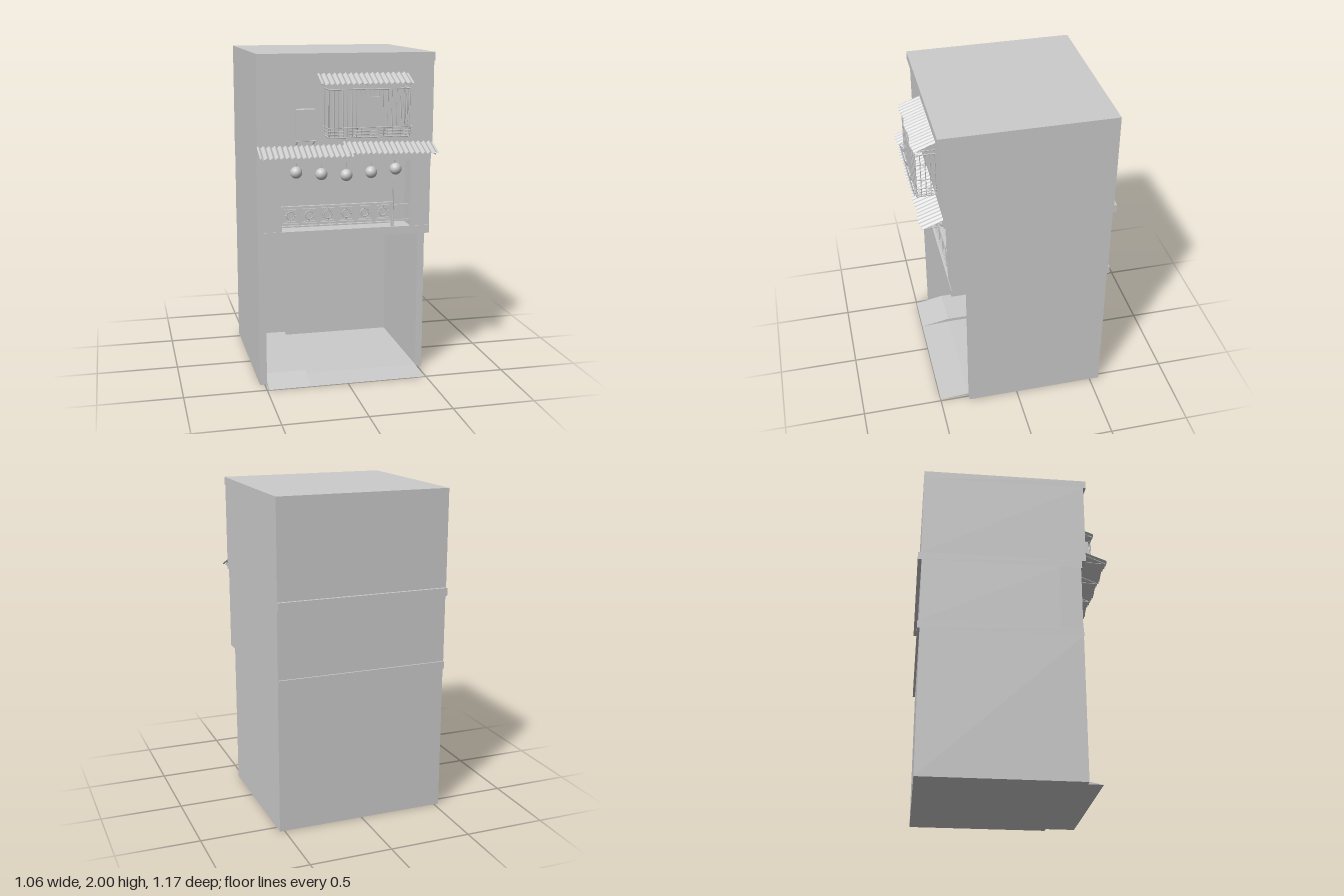
import * as THREE from 'three';

const grey = new THREE.MeshStandardMaterial({ color: 0xcccccc });
const sheetMat = new THREE.MeshStandardMaterial({ color: 0xcccccc, side: THREE.DoubleSide });

function add(parent, name, geometry, material = grey) {
  const mesh = new THREE.Mesh(geometry, material);
  mesh.name = name;
  parent.add(mesh);
  return mesh;
}

// Box given by its extents on each axis
function box(parent, name, x0, x1, y0, y1, z0, z1) {
  const mesh = add(parent, name, new THREE.BoxGeometry(x1 - x0, y1 - y0, z1 - z0));
  mesh.position.set((x0 + x1) / 2, (y0 + y1) / 2, (z0 + z1) / 2);
  return mesh;
}

// Thin round bar between two points
function rod(parent, name, a, b, r = 0.003) {
  const p = new THREE.Vector3(...a), q = new THREE.Vector3(...b);
  const mesh = add(parent, name, new THREE.CylinderGeometry(r, r, p.distanceTo(q), 6));
  mesh.position.copy(p).lerp(q, 0.5);
  mesh.quaternion.setFromUnitVectors(new THREE.Vector3(0, 1, 0), q.sub(p).normalize());
  return mesh;
}

function group(parent, name) {
  const g = new THREE.Group();
  g.name = name;
  parent.add(g);
  return g;
}

// Corrugated sheet sloping from the wall down to its outer edge, with struts
function awning(parent, name, x0, x1, yTop, yLow, tilt = 0) {
  const g = group(parent, name);
  const w = x1 - x0, waves = Math.round(w / 0.032);
  const geo = new THREE.PlaneGeometry(1, 1, waves * 8, 1);
  const p = geo.attributes.position;
  for (let i = 0; i < p.count; i++) {
    const u = p.getX(i) + 0.5, v = p.getY(i) + 0.5;
    const wave = 0.005 * Math.sin(u * waves * Math.PI * 2);
    const z = 0.568 - 0.128 * v + (1 - v) * 0.005 * Math.sin(u * 17);
    p.setXYZ(i, x0 + w * u, yLow + (yTop - yLow) * v + wave - tilt * u, z);
  }
  geo.computeVertexNormals();
  add(g, 'corrugatedSheet', geo, sheetMat);
  for (const t of [0.04, 0.5, 0.96]) {
    const x = x0 + w * t, d = tilt * t + 0.008;
    rod(g, 'slopingStrut', [x, yTop - d, 0.44], [x, yLow - d, 0.565]);
    rod(g, 'levelStrut', [x, yLow - d, 0.44], [x, yLow - d, 0.565]);
  }
}

// Rectangular railing frame with a round, notched ornament
function railingPanel(parent, x, y, z) {
  const g = group(parent, 'railingPanel');
  g.position.set(x, y, z);
  const square = (s, t) => {
    box(g, 'frameBar', -s, s, s - t, s, -0.006, 0.006);
    box(g, 'frameBar', -s, s, -s, -s + t, -0.006, 0.006);
    for (const m of [-1, 1]) box(g, 'frameBar', m * (s - t / 2) - t / 2, m * (s - t / 2) + t / 2, -s, s, -0.006, 0.006);
  };
  square(0.051, 0.005);
  square(0.04, 0.004);
  add(g, 'ring', new THREE.TorusGeometry(0.024, 0.003, 6, 24));
  for (let i = 0; i < 4; i++) {
    const a = i * Math.PI / 2;
    rod(g, 'spoke', [0.023 * Math.cos(a), 0.023 * Math.sin(a), 0], [0.038 * Math.cos(a), 0.038 * Math.sin(a), 0]);
  }
}

export function createModel() {
  const model = new THREE.Group();
  model.name = 'shopHouse';

  // Ground floor: open garage with walls, floor and sloped entry
  const ground = group(model, 'groundFloor');
  box(ground, 'leftWall', 0.487, 0.53, 0, 0.9, -0.56, 0.315);
  box(ground, 'rightWall', -0.53, -0.487, 0, 0.9, -0.56, 0.41);
  box(ground, 'backWall', -0.487, 0.487, 0, 0.9, -0.56, -0.415);
  box(ground, 'ceilingSlab', -0.53, 0.53, 0.9, 0.95, -0.575, 0.412);
  const floor = (name, x0, x1, h) => {
    const s = new THREE.Shape();
    s.moveTo(-0.5, 0).lineTo(0.415, 0).lineTo(0.415, h).lineTo(-0.315, h).closePath();
    const mesh = add(ground, name, new THREE.ExtrudeGeometry(s, { depth: x1 - x0, bevelEnabled: false }));
    mesh.rotation.y = Math.PI / 2;
    mesh.position.x = x0;
  };
  floor('raisedFloorAndRamp', -0.487, -0.23, 0.035);
  floor('floorAndRamp', -0.23, 0.487, 0.012);

  // Middle floor with a recessed balcony
  const middle = group(model, 'middleFloor');
  box(middle, 'body', -0.53, 0.53, 0.95, 1.36, -0.565, 0.275);
  box(middle, 'frontWallRight', -0.53, -0.39, 0.95, 1.36, 0.275, 0.408);
  box(middle, 'frontWallLeft', 0.41, 0.53, 0.95, 1.36, 0.275, 0.408);
  box(middle, 'ledge', -0.53, 0.53, 1.36, 1.41, -0.588, 0.415);

  // Balcony railing, side gate and corner pole
  const railing = group(model, 'balconyRailing');
  for (let i = 0; i < 6; i++) railingPanel(railing, -0.329 + i * 0.1138, 1.043, 0.39);
  for (const y of [0.977, 1.096]) box(railing, 'rail', -0.39, 0.3, y - 0.004, y + 0.004, 0.38, 0.4);
  for (let i = 0; i < 7; i++) {
    const x = -0.386 + i * 0.1138;
    box(railing, 'post', x - 0.004, x + 0.004, i % 6 ? 0.975 : 0.95, 1.098, 0.382, 0.398);
  }
  rod(railing, 'cornerPole', [0.305, 0.95, 0.39], [0.305, 1.36, 0.39], 0.004);
  for (let i = 0; i < 6; i++) {
    const x = 0.314 + i * 0.018;
    box(railing, 'gateSlat', x - 0.003, x + 0.003, 0.985, 1.08, 0.387, 0.395);
  }
  for (const y of [0.985, 1.08]) box(railing, 'gateRail', 0.308, 0.41, y - 0.004, y + 0.004, 0.385, 0.397);

  // Row of hanging lanterns
  const lanterns = group(model, 'lanterns');
  [1.305, 1.29, 1.278, 1.29, 1.305].forEach((y, i) => {
    const x = -0.295 + i * 0.152;
    const ball = add(lanterns, 'lantern', new THREE.SphereGeometry(0.036, 20, 14));
    ball.position.set(x, y, 0.402);
    rod(lanterns, 'lanternCord', [x, y + 0.03, 0.402], [x, 1.36, 0.402], 0.0012);
  });

  // Upper floor and roof band
  const upper = group(model, 'upperFloor');
  box(upper, 'body', -0.53, 0.53, 1.41, 1.95, -0.57, 0.44);
  box(upper, 'roofBand', -0.53, 0.53, 1.95, 2, -0.57, 0.457);

  // Corrugated awnings
  awning(model, 'lowerAwningRight', -0.533, 0.015, 1.467, 1.418);
  awning(model, 'lowerAwningLeft', -0.022, 0.53, 1.483, 1.434, 0.014);
  awning(model, 'windowAwning', -0.175, 0.37, 1.882, 1.833);

  // Air conditioner on its bracket
  const cooler = group(model, 'airConditioner');
  box(cooler, 'housing', -0.31, -0.197, 1.51, 1.685, 0.45, 0.505);
  for (const x of [-0.303, -0.204]) {
    rod(cooler, 'bracketArm', [x, 1.503, 0.44], [x, 1.503, 0.505]);
    rod(cooler, 'bracketLeg', [x, 1.475, 0.44], [x, 1.503, 0.505]);
  }
  rod(cooler, 'bracketBar', [-0.31, 1.503, 0.505], [-0.197, 1.503, 0.505]);
  rod(cooler, 'drainPipe', [-0.197, 1.475, 0.448], [-0.197, 1.65, 0.448]);

  // Window cage with vertical bars, hatch and plant tray
  const cage = group(model, 'windowCage');
  const L = -0.13, R = 0.347, F = 0.557;
  for (let i = 0; i <= 18; i++) {
    const x = L + (R - L) * i / 18;
    rod(cage, 'frontBar', [x, 1.525, F], [x, 1.8, F], 0.0025);
  }
  for (const x of [L, R]) {
    for (let i = 0; i < 4; i++) rod(cage, 'sideBar', [x, 1.525, 0.446 + i * 0.028], [x, 1.8, 0.446 + i * 0.028], 0.0025);
  }
  for (const y of [1.525, 1.8]) {
    rod(cage, 'frontRail', [L, y, F], [R, y, F], 0.004);
    for (const x of [L, R]) rod(cage, 'sideRail', [x, y, 0.44], [x, y, F], 0.004);
  }
  box(cage, 'hatch', 0.032, 0.187, 1.575, 1.758, 0.553, 0.562);
  for (const y of [1.545, 1.563, 1.583]) {
    const out = 0.572 + (y - 1.545) * 0.28;
    rod(cage, 'trayFrontRail', [-0.142, y, out], [0.358, y, out]);
    for (const x of [-0.142, 0.358]) rod(cage, 'traySideRail', [x, y, 0.44], [x, y, out]);
  }
  for (let i = 0; i <= 3; i++) {
    const x = -0.13 + i * 0.159;
    rod(cage, 'trayBrace', [x, 1.527, F], [x, 1.585, 0.583]);
    rod(cage, 'floorBar', [x, 1.527, 0.44], [x, 1.527, F]);
  }
  return model;
}
